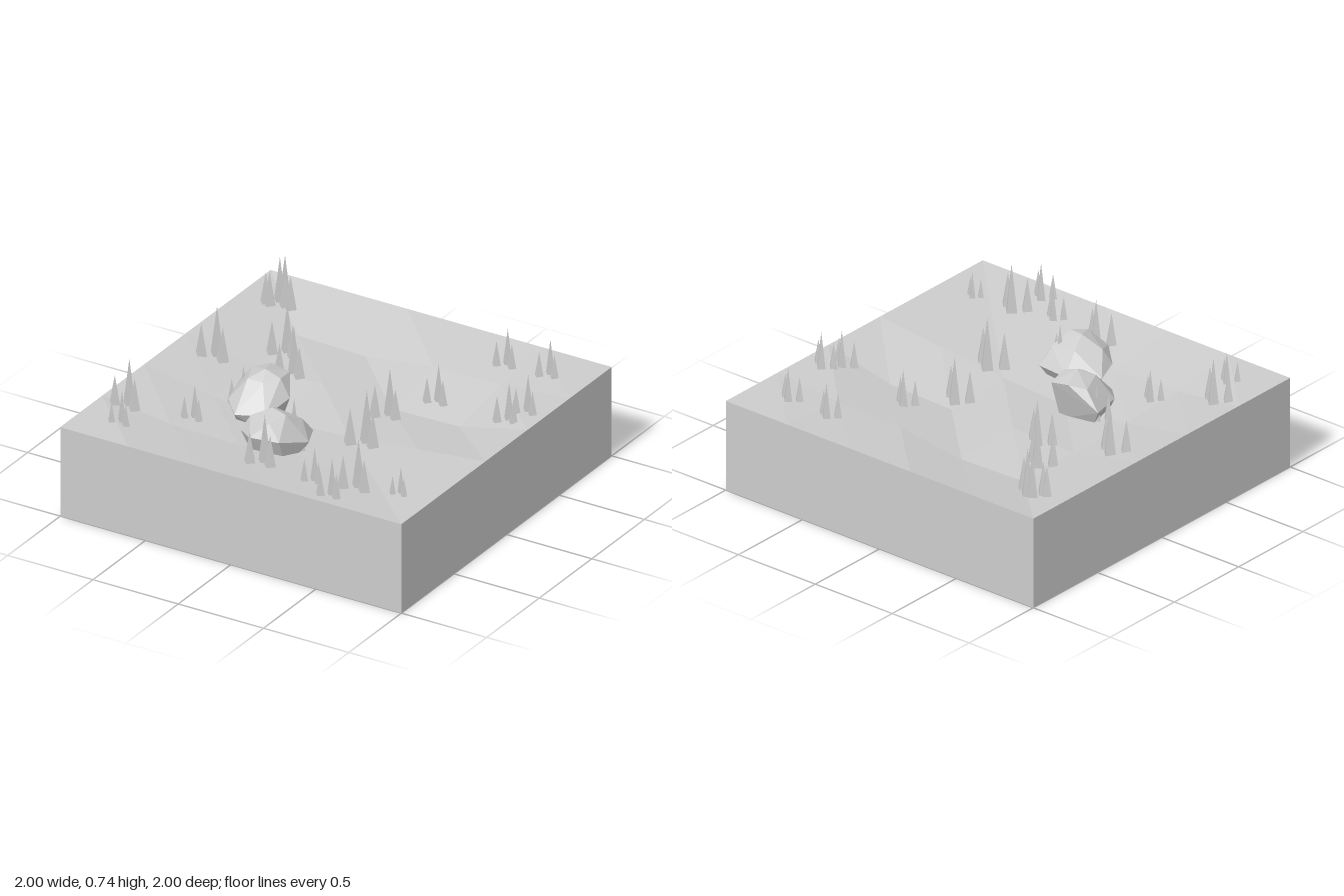
import * as THREE from 'three';
import { ConvexGeometry } from 'three/addons/geometries/ConvexGeometry.js';

const stone = new THREE.MeshStandardMaterial({ color: 0xcccccc, flatShading: true });
stone.name = 'light grey';

// Ground dips at the inner grid corners; rows run from back to front
const DIPS = [
  [0, 0, 0, 0, 0, 0],
  [0, 0.08, 0.09, 0.04, 0.03, 0],
  [0, 0.08, 0.07, 0.10, 0.09, 0],
  [0, 0.07, 0.10, 0.08, 0.04, 0],
  [0, 0.05, 0.06, 0.05, 0.04, 0],
  [0, 0, 0, 0, 0, 0],
];

function groundHeight(x, z) {
  const u = (x + 1) / 0.4, v = (z + 1) / 0.4;
  const i = Math.min(4, Math.floor(u + 1e-4)), j = Math.min(4, Math.floor(v + 1e-4));
  const a = u - i, b = v - j;
  const near = DIPS[j][i] * (1 - a) + DIPS[j][i + 1] * a;
  const far = DIPS[j + 1][i] * (1 - a) + DIPS[j + 1][i + 1] * a;
  return 0.5 - (near * (1 - b) + far * b);
}

function add(parent, name, geometry) {
  const mesh = new THREE.Mesh(geometry, stone);
  mesh.name = name;
  parent.add(mesh);
  return mesh;
}

// Square block without its lid, which the terrain replaces
function blockGeometry() {
  const g = new THREE.BoxGeometry(2, 0.5, 2).translate(0, 0.25, 0);
  const index = Array.from(g.index.array);
  index.splice(12, 6);
  g.setIndex(index);
  g.clearGroups();
  return g;
}

// Faceted ground sheet
function terrainGeometry() {
  const g = new THREE.PlaneGeometry(2, 2, 5, 5).rotateX(-Math.PI / 2).rotateY(Math.PI / 2);
  const p = g.attributes.position;
  for (let i = 0; i < p.count; i++) p.setY(i, groundHeight(p.getX(i), p.getZ(i)));
  g.computeVertexNormals();
  return g;
}

// One tall four-sided tree with two shorter ones in front of it
function treeCluster(x, z, r) {
  const cluster = new THREE.Group();
  cluster.name = 'treeCluster';
  cluster.position.set(x, groundHeight(x, z), z);
  const trees = [[0, 0, 1, 7.2], [-1.45, 1.6, 0.94, 4.9], [1.6, 1.15, 0.97, 4.9]];
  for (const [dx, dz, width, height] of trees) {
    const h = height * r;
    add(cluster, 'tree', new THREE.ConeGeometry(width * r, h, 4))
      .position.set(dx * r, h / 2, dz * r);
  }
  return cluster;
}

function boulder(points) {
  return new ConvexGeometry(points.map((p) => new THREE.Vector3(...p)));
}

export function createModel() {
  const model = new THREE.Group();
  model.name = 'landscapeTile';
  add(model, 'groundBlock', blockGeometry());
  add(model, 'terrain', terrainGeometry());

  // Cluster positions and trunk radius: x, z, r
  const clusters = [
    [-0.81, -0.78, 0.034], [-0.78, -0.78, 0.037], [0.52, -0.79, 0.027], [0.77, -0.79, 0.027],
    [-0.55, -0.43, 0.037], [0.38, -0.36, 0.028], [0.88, -0.40, 0.029], [0.83, -0.30, 0.029],
    [-0.40, -0.25, 0.035], [-0.79, -0.15, 0.038], [0.23, -0.14, 0.036], [0.31, 0.21, 0.040],
    [-0.45, 0.15, 0.028], [0.02, 0.43, 0.036], [-0.55, 0.45, 0.025], [-0.86, 0.57, 0.035],
    [-0.78, 0.77, 0.025], [0.02, 0.71, 0.036], [0.57, 0.71, 0.037], [0.35, 0.77, 0.025],
    [0.52, 0.88, 0.028], [0.80, 0.68, 0.020],
  ];
  for (const c of clusters) model.add(treeCluster(...c));

  // Two boulders
  add(model, 'backBoulder', boulder([
    [-0.31, 0.65, 0.17], [-0.22, 0.62, 0.17], [-0.35, 0.62, 0.05], [-0.24, 0.60, 0.05],
    [-0.43, 0.60, 0.10], [-0.16, 0.53, 0.18], [-0.51, 0.50, 0.09], [-0.37, 0.61, 0.24],
    [-0.20, 0.49, 0.35], [-0.36, 0.47, 0.38], [-0.46, 0.49, 0.28], [-0.28, 0.61, 0.24],
    [-0.43, 0.37, 0.14], [-0.24, 0.37, 0.12], [-0.25, 0.37, 0.30], [-0.39, 0.37, 0.30],
  ]));
  add(model, 'frontBoulder', boulder([
    [-0.07, 0.64, 0.49], [0.02, 0.63, 0.51], [-0.10, 0.59, 0.40], [0.05, 0.57, 0.40],
    [-0.18, 0.58, 0.52], [-0.02, 0.61, 0.60], [-0.26, 0.48, 0.42], [-0.12, 0.49, 0.30],
    [0.07, 0.48, 0.33], [0.13, 0.49, 0.47], [0.06, 0.54, 0.64], [-0.11, 0.53, 0.65],
    [-0.22, 0.50, 0.55], [-0.16, 0.37, 0.40], [0.04, 0.37, 0.40], [0.05, 0.37, 0.56],
    [-0.12, 0.37, 0.57],
  ]));
  return model;
}
